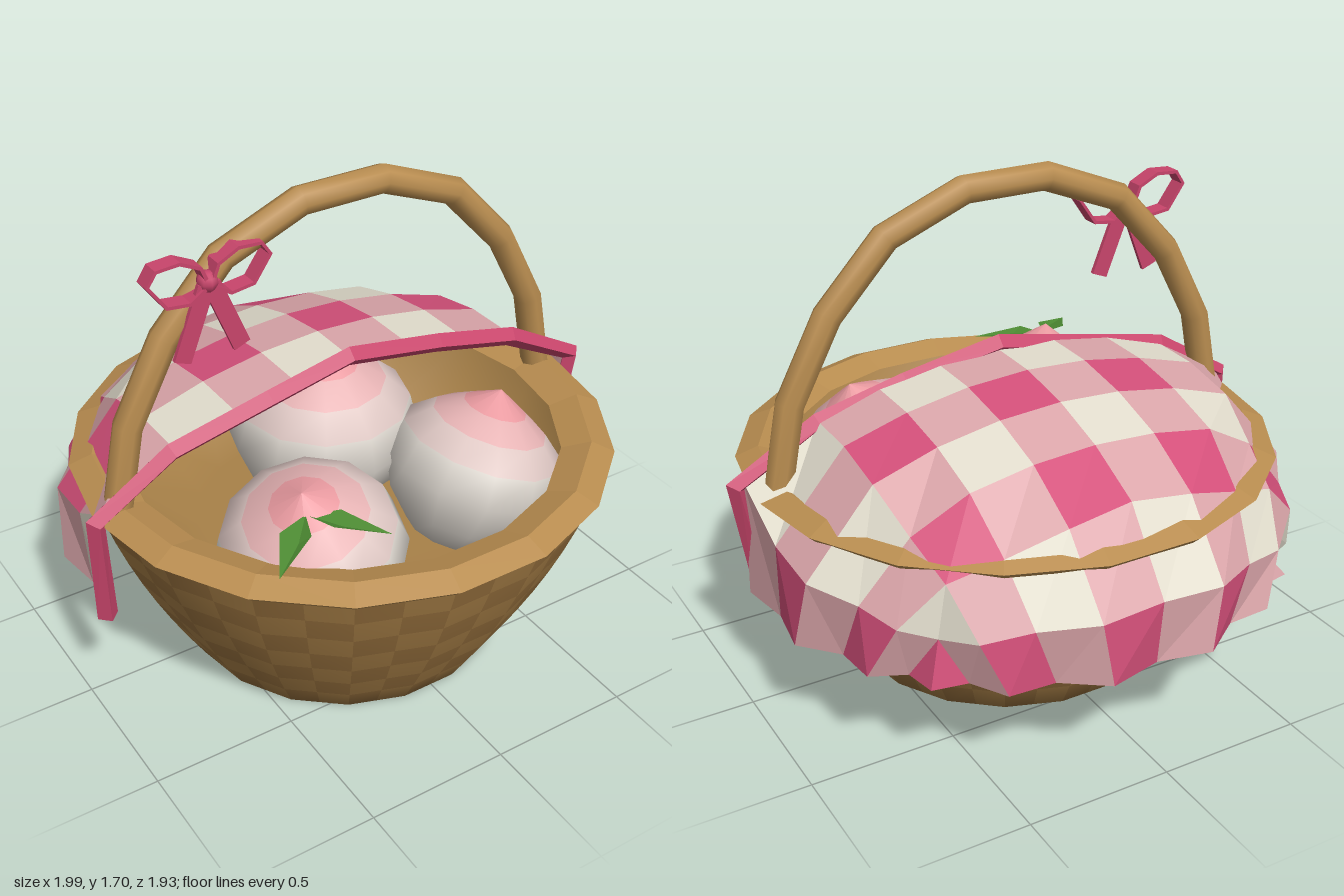
import * as THREE from 'three';

const SIDES = 18, START = Math.PI / SIDES;
const PINK = 0xc8456b, WOOD = 0xb98d50;

const mat = (color, opts = {}) => new THREE.MeshStandardMaterial({ color, ...opts });
const vec2s = points => points.map(([x, y]) => new THREE.Vector2(x, y));

function add(parent, name, geometry, material) {
  const mesh = new THREE.Mesh(geometry, material);
  mesh.name = name;
  parent.add(mesh);
  return mesh;
}

// Grid surface whose cells are sorted into one material group per colour
function colouredGrid(nu, nv, closed, point, colourOf, colourCount) {
  const positions = [], lists = Array.from({ length: colourCount }, () => []);
  const columns = closed ? nu : nu + 1;
  for (let j = 0; j <= nv; j++)
    for (let i = 0; i < columns; i++) positions.push(...point(i, j));
  for (let j = 0; j < nv; j++)
    for (let i = 0; i < nu; i++) {
      const a = j * columns + i, b = j * columns + (i + 1) % columns;
      lists[colourOf(i, j)].push(a, b, b + columns, a, b + columns, a + columns);
    }
  const g = new THREE.BufferGeometry();
  g.setAttribute('position', new THREE.Float32BufferAttribute(positions, 3));
  g.setIndex(lists.flat());
  let start = 0;
  lists.forEach((list, k) => { g.addGroup(start, list.length, k); start += list.length; });
  g.computeVertexNormals();
  return g;
}

// Sideways direction at each point of a polyline
function sideways(p) {
  return p.map((q, i) => {
    const before = q.clone().sub(p[Math.max(i - 1, 0)]).normalize();
    const after = p[Math.min(i + 1, p.length - 1)].clone().sub(q).normalize();
    const t = before.add(after).normalize();
    return new THREE.Vector2(-t.y, t.x);
  });
}

// Strip following a polyline in x/y, with thickness, running from z0 to z1
function band(points, thickness, z0, z1) {
  const p = vec2s(points), n = sideways(p);
  const edge = k => p.map((q, i) => q.clone().addScaledVector(n[i], k * thickness / 2));
  const shape = new THREE.Shape([...edge(1), ...edge(-1).reverse()]);
  return new THREE.ExtrudeGeometry(shape, { depth: z1 - z0, bevelEnabled: false }).translate(0, 0, z0);
}

// Four-sided cord following a polyline in x/y
function cord(points, radius, z) {
  const p = vec2s(points), n = sideways(p);
  return colouredGrid(4, p.length - 1, true, (i, j) => {
    const c = radius * Math.cos(i * Math.PI / 2), s = radius * Math.sin(i * Math.PI / 2);
    return [p[j].x + n[j].x * c, p[j].y + n[j].y * c, z + s];
  }, () => 0, 1);
}

function makeBasket() {
  const basket = new THREE.Group();
  basket.name = 'basket';
  basket.position.set(-0.01, 0, 0.045);
  // Woven shell: row 0 is the base, then two columns of weave per side
  const rows = 8, cols = SIDES * 2;
  const shell = colouredGrid(cols, rows, true, (i, j) => {
    const y = j ? 0.72 * (j - 1) / (rows - 1) : 0, a = START + i * Math.PI / SIDES;
    const r = j ? (0.57 + 0.62 * y - 0.22 * y * y) * (i % 2 ? Math.cos(START) : 1) : 0;
    return [r * Math.sin(a), y, r * Math.cos(a)];
  }, (i, j) => j ? (i + j) % 2 : Math.floor(i / 2) % 2, 2);
  add(basket, 'wovenShell', shell, [mat(0xa67e46), mat(0x98713e)]);
  const lining = vec2s([[0, 0.42], [0.5, 0.42], [0.74, 0.43], [0.86, 0.74]]);
  add(basket, 'lining', new THREE.LatheGeometry(lining, SIDES, START), mat(0xa88148, { side: THREE.BackSide }));
  const rim = vec2s([[0.895, 0.7], [0.935, 0.738], [0.855, 0.772], [0.755, 0.738], [0.895, 0.7]]);
  add(basket, 'rim', new THREE.LatheGeometry(rim, SIDES, START), mat(WOOD, { flatShading: true }));
  // Arched handle
  const half = [[0.85, 0.74], [0.785, 1.06], [0.625, 1.345], [0.4, 1.565], [0.14, 1.655]];
  const arch = [...half, ...half.map(([x, y]) => [-x, y]).reverse()].map(([x, y]) => new THREE.Vector3(x, y, 0));
  add(basket, 'handle', new THREE.TubeGeometry(new THREE.CatmullRomCurve3(arch), 9, 0.05, 8), mat(WOOD, { side: THREE.DoubleSide }));
  return basket;
}

// Gingham cloth, one quad per check: a domed top that dips under the rim and hangs in pleats
function makeCloth() {
  const cloth = new THREE.Group();
  cloth.name = 'cloth';
  const cellsX = 10, cellsZ = 6, halfX = 1.12, front = 0.09, back = -1.17, R = 0.74;
  const domeY = (x, z) => 1.06 - 0.26 * x * x - 0.35 * z * z;
  const point = (i, j) => {
    const x = -halfX + 2 * halfX * i / cellsX;
    const z = front + (back - front) * j / cellsZ;
    const s = Math.hypot(x, z);
    if (s <= R) return [x, domeY(x, z), z];
    const sx = x / s, sz = z / s;
    const toSide = Math.abs(x) / halfX, toBack = z / back;
    const edge = s / Math.max(toSide, toBack);
    const t = (s - R) / (edge - R), knee = 0.45;
    const kneeY = j ? 0.63 : 0.77, kneeR = 0.96;
    // Alternate border points swing in and out
    const pleat = j ? ((toBack > toSide ? i : j) % 2 ? -0.03 : 0.03) : 0;
    const a = Math.min(t / knee, 1), b = Math.max((t - knee) / (1 - knee), 0);
    const r = R + (kneeR - R) * a + pleat * t - 0.01 * b;
    const y = domeY(sx * R, sz * R) * (1 - a) + kneeY * a - (kneeY - 0.37) * b;
    return [sx * r, y, z > 0 ? z : sz * r];
  };
  const sheet = colouredGrid(cellsX, cellsZ, false, point, (i, j) => i % 2 + j % 2, 3);
  add(cloth, 'ginghamSheet', sheet,
    [0xe2ddcd, 0xdba6aa, 0xd4507a].map(c => mat(c, { side: THREE.DoubleSide, flatShading: true })));
  const hem = [[-0.95, 0.38], [-0.96, 0.76], [-0.68, 0.93], [-0.32, 1.005], [-0.01, 1.068],
    [0.35, 1.005], [0.67, 0.93], [0.965, 0.77], [0.895, 0.38]];
  add(cloth, 'hemTrim', cord(hem, 0.036, 0.095), [mat(PINK, { side: THREE.DoubleSide, flatShading: true })]);
  return cloth;
}

// Peach that blushes in bands toward its pointed tip
function makePeach(x, y, z, size, tip) {
  const peach = new THREE.Group();
  peach.name = 'peach';
  const profile = [[0, -0.24], [0.16, -0.22], [0.25, -0.12], [0.31, 0.02], [0.28, 0.13], [0.2, 0.2], [0.11, 0.255], [0, 0.32]];
  const skin = colouredGrid(12, profile.length - 1, true, (i, j) => {
    const a = i * Math.PI / 6, [r, h] = profile[j];
    return [size * r * Math.sin(a), size * h, size * r * Math.cos(a)];
  }, (i, j) => Math.max(j - 3, 0), 4);
  add(peach, 'skin', skin, [0xd8d2ca, 0xdfc8c4, 0xe6b3b4, 0xea9ba1].map(c => mat(c)));
  peach.position.set(x, y, z);
  peach.quaternion.setFromUnitVectors(new THREE.Vector3(0, 1, 0), new THREE.Vector3(...tip).normalize());
  return peach;
}

// Pair of folded leaves
function makeLeaves() {
  const leaves = new THREE.Group();
  leaves.name = 'leaves';
  leaves.position.set(-0.45, 0.865, 0.53);
  for (const side of [-1, 1]) {
    const leaf = new THREE.BufferGeometry();
    leaf.setAttribute('position', new THREE.Float32BufferAttribute([
      0, 0, 0, side * 0.11, -0.005, 0.03, side * 0.2, -0.04, 0.18,
      side * 0.08, -0.02, 0.09, side * 0.04, 0, 0.1], 3));
    leaf.setIndex([0, 3, 1, 1, 3, 2, 0, 4, 3, 3, 4, 2]);
    leaf.computeVertexNormals();
    add(leaves, 'leaf', leaf, mat(0x4c8a32, { side: THREE.DoubleSide, flatShading: true }));
  }
  return leaves;
}

// Ribbon bow on the handle
function makeBow() {
  const bow = new THREE.Group();
  bow.name = 'bow';
  bow.position.set(-0.52, 1.495, 0.09);
  const loop = [[0.01, 0.01], [0.03, 0.06], [0.1, 0.095], [0.18, 0.09], [0.21, 0.045], [0.15, -0.04], [0.07, -0.05], [0.01, -0.01]];
  for (const side of [-1, 1]) {
    const mirror = ([x, y]) => [side * x, y];
    add(bow, 'loop', band(loop.map(mirror), 0.012, -0.035, 0.025), mat(PINK, { side: THREE.DoubleSide }));
    add(bow, 'tail', band([[0.01, -0.01], [0.105, -0.25]].map(mirror), 0.06, 0, 0.015), mat(PINK));
  }
  add(bow, 'knot', new THREE.SphereGeometry(0.036, 8, 6), mat(PINK));
  return bow;
}

export function createModel() {
  const model = new THREE.Group();
  model.name = 'peachBasket';
  model.add(makeBasket(), makeCloth(), makeLeaves(), makeBow());
  model.add(
    makePeach(-0.36, 0.61, 0.42, 1.02, [-0.09, 0.35, 0.08]),
    makePeach(0.335, 0.61, 0.34, 1.02, [0.12, 0.35, 0.01]),
    makePeach(-0.01, 0.685, -0.08, 1.09, [0, 1, 0.05]));
  return model;
}
